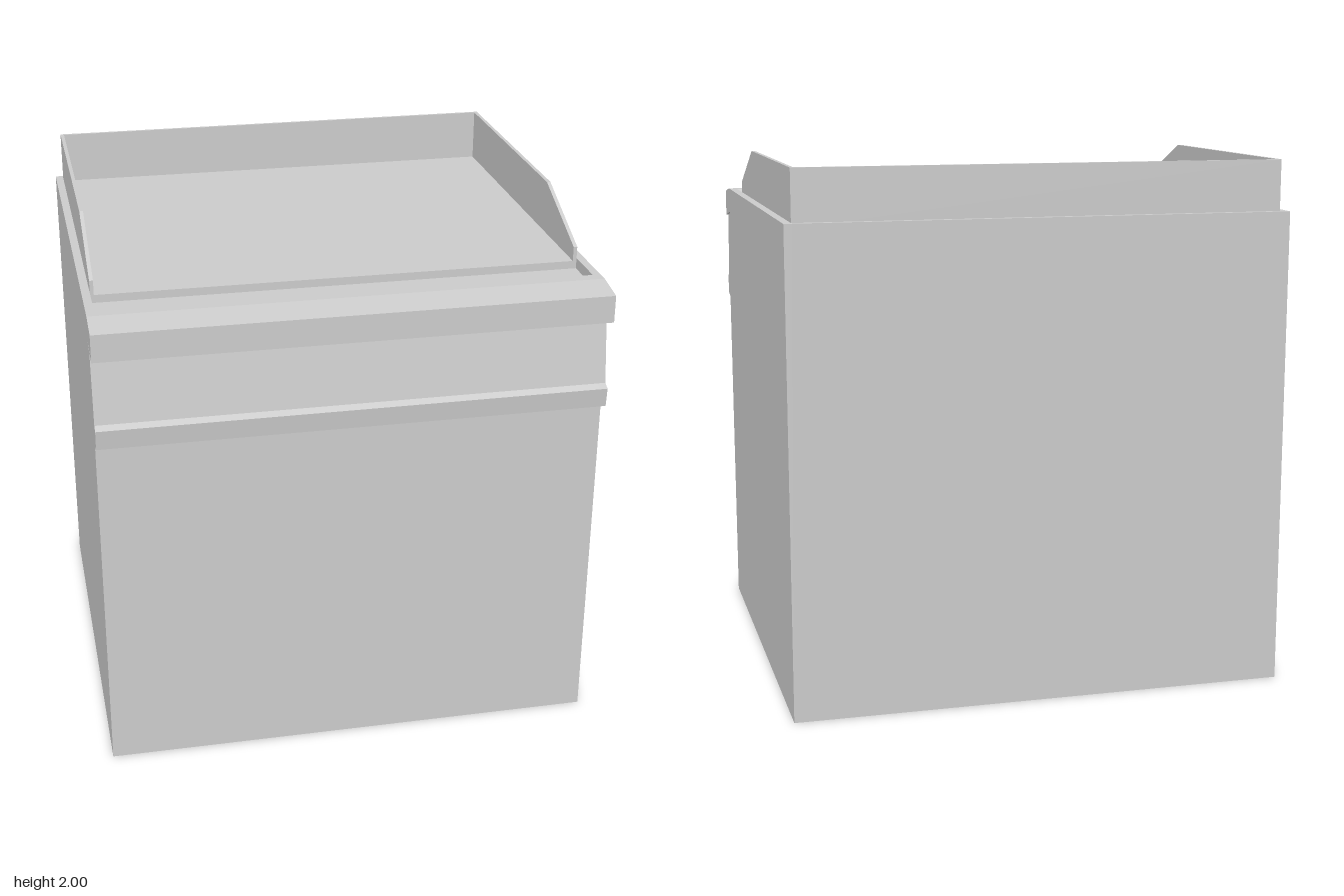
import * as THREE from 'three';

const material = new THREE.MeshStandardMaterial({ color: 0xcccccc, flatShading: true });

// Extrudes a side profile of [z, y] points across x, centred on the given x.
function profilePart(name, points, width, x = 0) {
  const shape = new THREE.Shape(points.map(([z, y]) => new THREE.Vector2(z, y)));
  const geometry = new THREE.ExtrudeGeometry(shape, { depth: width, bevelEnabled: false });
  geometry.translate(0, 0, -width / 2);
  geometry.rotateY(-Math.PI / 2);
  const mesh = new THREE.Mesh(geometry, material);
  mesh.name = name;
  mesh.position.x = x;
  return mesh;
}

export function createModel() {
  const group = new THREE.Group();
  group.name = 'countertopGriddleUnit';

  // Cabinet front, control fascia and overhanging lip, from bottom to top
  const front = [
    [-0.87, 0], [0.805, 0], [0.805, 1.335], [0.855, 1.347], [0.862, 1.42],
    [0.835, 1.432], [0.795, 1.695], [0.74, 1.703], [0.74, 1.71],
    [0.873, 1.687], [0.873, 1.79], [0.75, 1.81],
  ];
  // Grease trough and recessed cooking plate
  const trough = [[0.705, 1.81], [0.635, 1.77], [0.525, 1.77], [0.525, 1.8], [-0.84, 1.8], [-0.84, 1.81]];
  const back = [[-0.87, 1.81]];

  group.add(profilePart('cabinetWithPlate', [...front, ...trough, ...back], 1.82));

  // Splash guard: sloping side walls and a straight back wall
  const guard = [[-0.842, 1.79], [0.525, 1.79], [0.525, 1.855], [0.18, 2], [-0.842, 2]];
  for (const [side, s] of [['left', 1], ['right', -1]]) {
    group.add(profilePart(side + 'CabinetEnd', [...front, ...back], 0.03, s * 0.925));
    group.add(profilePart(side + 'SplashGuard', guard, 0.014, s * 0.903));
  }
  const backGuard = new THREE.Mesh(new THREE.BoxGeometry(1.82, 0.21, 0.012), material);
  backGuard.name = 'backSplashGuard';
  backGuard.position.set(0, 1.895, -0.839);
  group.add(backGuard);

  return group;
}
